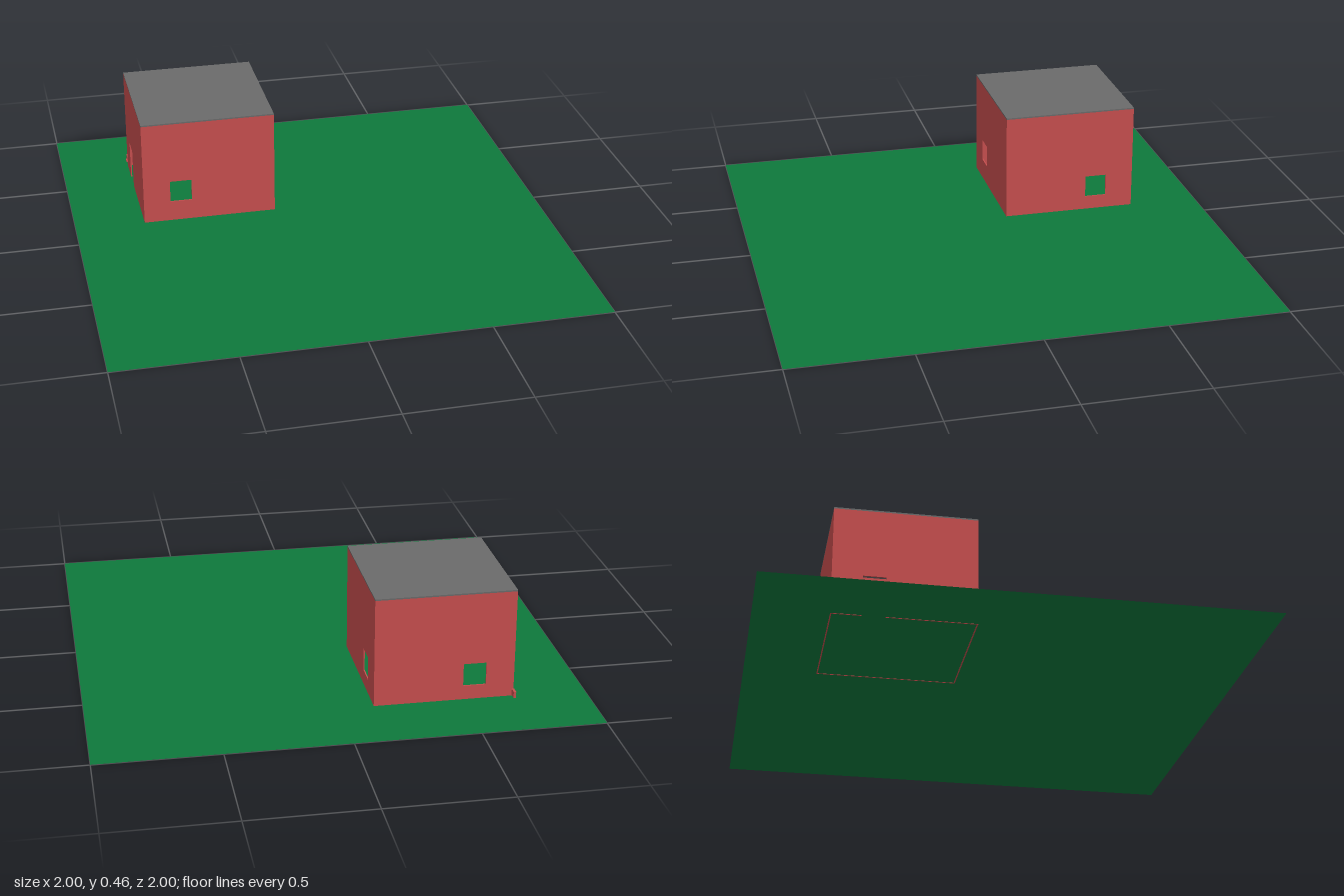
import * as THREE from 'three';

export function createModel() {
  const model = new THREE.Group();
  const mat = (name, color) => new THREE.MeshStandardMaterial({ name, color });
  const brick = mat('brick red', 0xc94f4f);
  const grass = mat('grass green', 0x0e783c);
  const slate = mat('roof grey', 0x6b6b6b);
  grass.side = THREE.DoubleSide;

  const MIN = -0.705, MAX = -0.135, SIZE = MAX - MIN, MID = (MIN + MAX) / 2;
  const THICK = 0.005, ROOF = 0.006, WALL_H = 0.46 - ROOF;

  const add = (parent, name, geometry, material, x = 0, y = 0, z = 0) => {
    const mesh = new THREE.Mesh(geometry, material);
    mesh.name = name;
    mesh.position.set(x, y, z);
    parent.add(mesh);
    return mesh;
  };

  // Flat lawn, just above the wall feet
  add(model, 'lawn', new THREE.PlaneGeometry(2, 2).rotateX(-Math.PI / 2), grass, 0, 0.001, 0);

  // Upright wall panel from u0 to u1 with one rectangular opening
  function wallGeometry(u0, u1, [a, b, low, high]) {
    const isDoor = low === 0;
    const shape = new THREE.Shape();
    shape.moveTo(u0, 0);
    if (isDoor) shape.lineTo(a, 0).lineTo(a, high).lineTo(b, high).lineTo(b, 0);
    shape.lineTo(u1, 0).lineTo(u1, WALL_H).lineTo(u0, WALL_H).closePath();
    if (!isDoor) {
      const hole = new THREE.Path();
      hole.moveTo(a, low).lineTo(a, high).lineTo(b, high).lineTo(b, low).closePath();
      shape.holes.push(hole);
    }
    return new THREE.ExtrudeGeometry(shape, { depth: THICK, bevelEnabled: false });
  }

  const house = new THREE.Group();
  house.name = 'house';
  model.add(house);

  // Front and back walls, each with a window
  add(house, 'frontWall', wallGeometry(MIN, MAX, [-0.59, -0.497, 0.09, 0.185]), brick, 0, 0, MAX - THICK);
  add(house, 'backWall', wallGeometry(MIN, MAX, [-0.59, -0.497, 0.06, 0.155]), brick, 0, 0, MIN);

  // Side walls fit between them: the panel's u axis is turned to run along -z
  const s0 = -MAX + THICK, s1 = -MIN - THICK;
  const windowSide = add(house, 'windowSideWall', wallGeometry(s0, s1, [0.493, 0.585, 0.06, 0.155]), brick, MAX - THICK);
  const doorSide = add(house, 'doorSideWall', wallGeometry(s0, s1, [0.493, 0.585, 0, 0.17]), brick, MIN);
  for (const wall of [windowSide, doorSide]) wall.rotation.y = Math.PI / 2;

  // Flat roof slab
  add(house, 'roof', new THREE.BoxGeometry(SIZE, ROOF, SIZE), slate, MID, 0.46 - ROOF / 2, MID);

  // Small box on a thin bracket at the back corner
  const cornerBox = new THREE.Group();
  cornerBox.name = 'cornerBox';
  model.add(cornerBox);
  add(cornerBox, 'box', new THREE.BoxGeometry(0.01, 0.027, 0.03), brick, -0.7, 0.023, -0.731);
  add(cornerBox, 'bracket', new THREE.BoxGeometry(0.006, 0.006, 0.025), brick, -0.708, 0.023, -0.707);

  return model;
}
